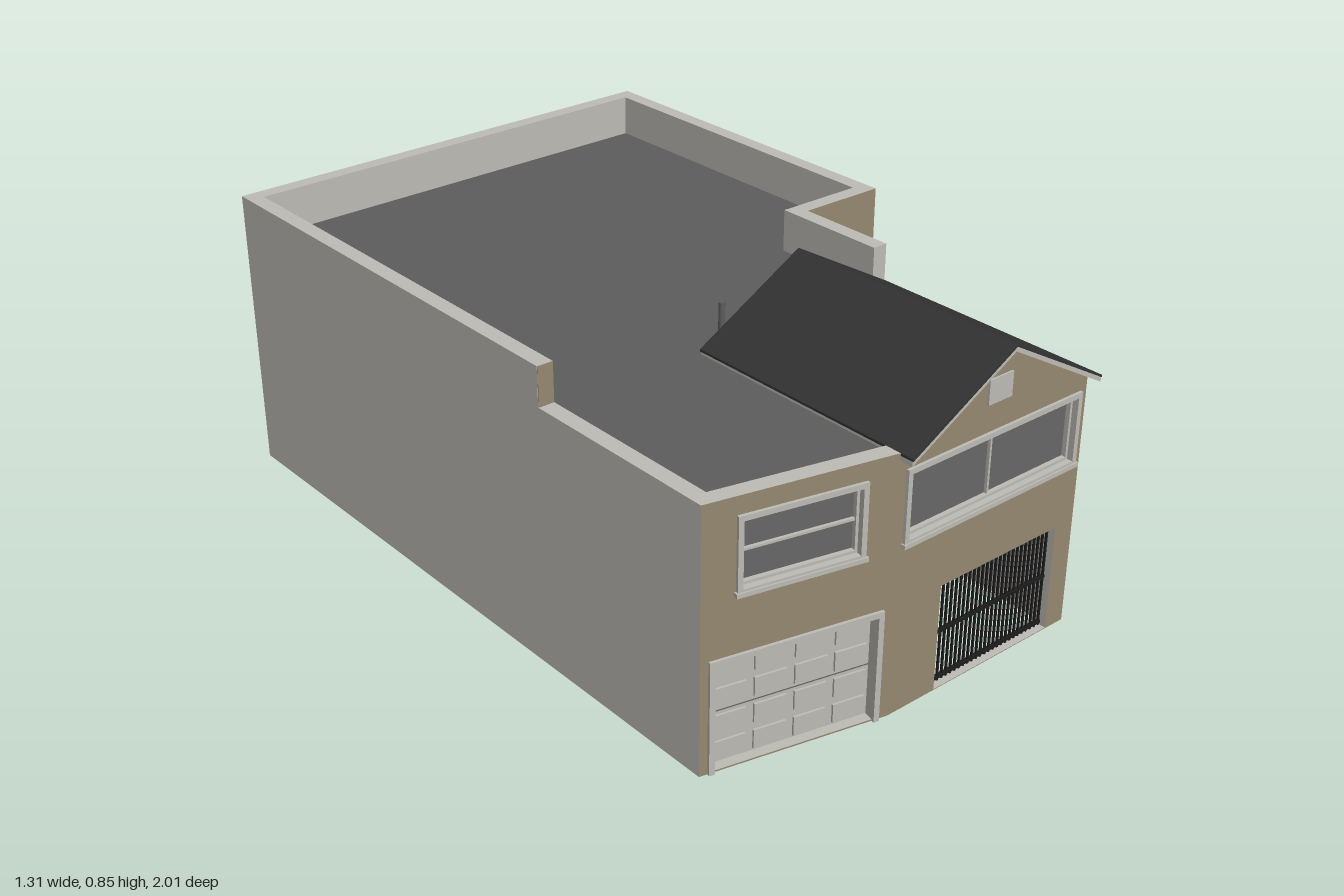
import * as THREE from 'three';

const mat = (name, color, side = THREE.FrontSide) => {
  const m = new THREE.MeshStandardMaterial({ color, side });
  m.name = name;
  return m;
};

export function createModel() {
  const house = new THREE.Group();
  house.name = 'house';
  const tan = mat('tan wall', 0x94886f);
  const light = mat('light grey', 0xbdbbb5);
  const deckGrey = mat('roof deck grey', 0x5d5d5d, THREE.DoubleSide);
  const glass = mat('window glass', 0x676767, THREE.DoubleSide);
  const roofBlack = mat('roof black', 0x333333);
  const iron = mat('gate iron', 0x1c1c1c);

  const T = 0.042, BASE = 0.01, LOW = 0.68, HIGH = 0.78;

  const add = (parent, name, geo, material) => {
    const m = new THREE.Mesh(geo, material);
    m.name = name;
    parent.add(m);
    return m;
  };
  // box given by its limits
  const box = (parent, name, material, x0, x1, y0, y1, z0, z1) => {
    const m = add(parent, name, new THREE.BoxGeometry(x1 - x0, y1 - y0, z1 - z0), material);
    m.position.set((x0 + x1) / 2, (y0 + y1) / 2, (z0 + z1) / 2);
    return m;
  };
  const shapeOf = pts => new THREE.Shape(pts.map(p => new THREE.Vector2(p[0], p[1])));

  // rectangular surround made of bars of width w
  function surround(g, name, material, [u0, u1, y0, y1], w, z0, z1, bottom) {
    box(g, name, material, u0, u0 + w, y0, y1, z0, z1);
    box(g, name, material, u1 - w, u1, y0, y1, z0, z1);
    box(g, name, material, u0 + w, u1 - w, y1 - w, y1, z0, z1);
    if (bottom) box(g, name, material, u0 + w, u1 - w, y0, y0 + w, z0, z1);
  }

  const fittings = {
    // framed glass with one dividing rail
    window(g, r, vertical) {
      const [u0, u1, y0, y1] = r, um = (u0 + u1) / 2, ym = (y0 + y1) / 2;
      surround(g, 'windowFrame', light, r, 0.013, -0.034, 0.008, true);
      surround(g, 'windowSash', light, [u0 + 0.013, u1 - 0.013, y0 + 0.013, y1 - 0.013], 0.007, -0.03, -0.008, true);
      box(g, 'windowSill', light, u0 - 0.004, u1 + 0.004, y0 - 0.004, y0 + 0.007, -0.01, 0.012);
      const pane = add(g, 'windowPane', new THREE.PlaneGeometry(u1 - u0 - 0.02, y1 - y0 - 0.02), glass);
      pane.position.set(um, ym, -0.02);
      if (vertical) box(g, 'windowRail', light, um - 0.003, um + 0.003, y0 + 0.015, y1 - 0.015, -0.025, -0.012);
      else box(g, 'windowRail', light, u0 + 0.015, u1 - 0.015, ym - 0.003, ym + 0.003, -0.025, -0.012);
    },
    // recessed plain door
    door(g, r) {
      const [u0, u1, , y1] = r;
      surround(g, 'doorFrame', light, [u0, u1, 0, y1], 0.012, -0.04, 0.008, false);
      box(g, 'doorPanel', light, u0 + 0.01, u1 - 0.01, BASE, y1 - 0.01, -0.038, -0.03);
    },
    // panelled garage door
    garage(g, r) {
      const [u0, u1, , y1] = r, a = u0 + 0.014, b = u1 - 0.014, top = y1 - 0.014;
      surround(g, 'garageFrame', light, [u0, u1, BASE, y1], 0.014, -0.04, 0.008, false);
      box(g, 'garageDoor', light, a, b, BASE, top, -0.038, -0.026);
      const cw = (b - a) / 4, rh = (top - BASE) / 4;
      for (let i = 0; i < 4; i++) for (let j = 0; j < 4; j++) {
        const x = a + i * cw, y = BASE + j * rh;
        box(g, 'garagePanel', light, x + 0.01, x + cw - 0.01, y + 0.01, y + rh - 0.01, -0.027, -0.02);
      }
      box(g, 'garageSeam', glass, a, b, 0.146, 0.149, -0.027, -0.0255);
    },
    // barred gate in an open doorway
    gate(g, [u0, u1, , y1]) {
      const n = 26;
      for (let i = 0; i <= n; i++) {
        const u = u0 + 0.003 + (u1 - u0 - 0.006) * i / n;
        box(g, 'gateBar', iron, u - 0.0025, u + 0.0025, BASE, y1, -0.023, -0.018);
      }
      for (const y of [0.022, 0.15, y1 - 0.006])
        box(g, 'gateRail', iron, u0, u1, y - 0.004, y + 0.004, -0.025, -0.016);
    },
  };
  const holeInset = { window: 0.01, door: 0.01, garage: 0.012, gate: 0 };

  // footprint corners (x, z), each starting one wall
  const P = [[-0.19, 0.965], [0.405, 0.965], [0.405, 0.045], [0.65, 0.045],
    [0.65, -1], [-0.655, -0.97], [-0.65, 0.86]].map(p => new THREE.Vector2(...p));
  const N = P.length;
  const dir = i => P[(i + 1) % N].clone().sub(P[i]).normalize();
  // corners of the footprint moved inward by the wall thickness
  const inner = P.map((p, i) => {
    const d0 = dir((i + N - 1) % N), d1 = dir(i);
    const n0 = new THREE.Vector2(d0.y, -d0.x), n1 = new THREE.Vector2(d1.y, -d1.x);
    const m = n0.clone().add(n1);
    return p.clone().addScaledVector(m, T / (1 + n0.dot(n1)));
  });

  const pair = (u0, u1) => [['window', u0, u1, 0.447, 0.635], ['window', u0, u1, 0.118, 0.3]];
  const upper = (u0, u1) => ['window', u0, u1, 0.447, 0.635];
  const L5 = P[5].distanceTo(P[6]);
  const walls = [
    { name: 'gableFrontWall', face: tan, top: L => [[L, 0.672], [L / 2, 0.84], [0, 0.672]],
      open: [['window', 0.015, 0.575, 0.447, 0.635, true], ['gate', 0.15, 0.535, 0.012, 0.29]] },
    { name: 'entranceSideWall', face: tan, top: L => [[L, HIGH], [0.64, HIGH], [0.64, 0.67], [0, 0.67]],
      open: [upper(0.155, 0.305), ['door', 0.155, 0.295, 0.002, 0.29], ...pair(0.615, 0.765)] },
    { name: 'wingFrontWall', face: tan, open: pair(0.05, 0.2) },
    { name: 'plainLeftWall', face: light, open: [] },
    { name: 'backWall', face: tan,
      open: [upper(0.245, 0.395), ['door', 0.25, 0.39, 0.002, 0.29], ...pair(0.905, 1.055)] },
    { name: 'plainRightWall', face: light, top: L => [[L, LOW], [1.29, LOW], [1.29, HIGH], [0, HIGH]], open: [] },
    { name: 'garageFrontWall', face: tan, top: L => [[L, LOW], [0, LOW]],
      open: [upper(0.082, 0.39), ['garage', 0.02, 0.446, 0.002, 0.3]] },
  ];

  walls.forEach((w, i) => {
    const a = P[i], b = P[(i + 1) % N], d = dir(i), L = a.distanceTo(b);
    const g = new THREE.Group();
    g.name = w.name;
    g.position.set(a.x, 0, a.y);
    g.rotation.y = Math.atan2(-d.y, d.x);
    house.add(g);

    const top = w.top ? w.top(L) : [[L, HIGH], [0, HIGH]];
    const shape = shapeOf([[0, BASE], [L, BASE], ...top]);
    for (const [type, u0, u1, y0, y1] of w.open) {
      const k = holeInset[type], yb = Math.max(y0 + k, BASE + 0.001);
      shape.holes.push(new THREE.Path([[u0 + k, yb], [u0 + k, y1 - k], [u1 - k, y1 - k], [u1 - k, yb]]
        .map(p => new THREE.Vector2(...p))));
    }
    const geo = new THREE.ExtrudeGeometry(shape, { depth: T, bevelEnabled: false });
    geo.translate(0, 0, -T);
    // mitre the inner ends at the corners
    const s = inner[i].clone().sub(a).dot(d), e = inner[(i + 1) % N].clone().sub(a).dot(d);
    const pos = geo.attributes.position;
    for (let k = 0; k < pos.count; k++) {
      if (pos.getZ(k) > -T / 2) continue;
      if (pos.getX(k) < 1e-4) pos.setX(k, s);
      else if (pos.getX(k) > L - 1e-4) pos.setX(k, e);
    }
    geo.computeVertexNormals();
    // inner face, outer face, edges
    const [cap, rim] = geo.groups.map(q => ({ ...q }));
    geo.clearGroups();
    geo.addGroup(cap.start, cap.count / 2, 0);
    geo.addGroup(cap.start + cap.count / 2, cap.count / 2, 1);
    geo.addGroup(rim.start, rim.count, 0);
    add(g, 'wall', geo, [light, w.face]);

    for (const [type, u0, u1, y0, y1, extra] of w.open) fittings[type](g, [u0, u1, y0, y1], extra);
    if (i === 0) box(g, 'atticVent', light, 0.255, 0.33, 0.705, 0.766, -0.002, 0.005);
    if (i === 5) box(g, 'parapetStepFace', tan, 1.289, 1.292, LOW, HIGH - 0.001, -T, -0.001);
  });

  // flat roof deck inside the parapet
  const deck = add(house, 'roofDeck', new THREE.ShapeGeometry(shapeOf(inner.map(p => [p.x, -p.y]))), deckGrey);
  deck.rotation.x = -Math.PI / 2;
  deck.position.y = 0.668;

  // gabled roof: dark covering over a light soffit
  const xm = 0.1075, half = 0.3025;
  const chevron = (name, material, drop, thick, z0, z1) => {
    const line = y => [[xm - half, 0.68 - y], [xm, 0.85 - y], [xm + half, 0.68 - y]];
    const shape = shapeOf([...line(drop + thick), ...line(drop).reverse()]);
    const geo = new THREE.ExtrudeGeometry(shape, { depth: z1 - z0, bevelEnabled: false });
    add(house, name, geo, material).position.z = z0;
  };
  chevron('gableRoof', roofBlack, 0, 0.006, 0.325, 1);
  chevron('gableSoffit', light, 0.006, 0.012, 0.328, 0.998);

  // rear gable wall standing on the deck
  const rear = new THREE.ExtrudeGeometry(shapeOf([[-0.188, 0.667], [0.403, 0.667], [xm, 0.838]]),
    { depth: 0.03, bevelEnabled: false });
  add(house, 'rearGableWall', rear, tan).position.z = 0.345;

  // vent pipe beside the gable
  const pipe = add(house, 'ventPipe', new THREE.CylinderGeometry(0.008, 0.008, 0.108, 12), deckGrey);
  pipe.position.set(-0.123, 0.721, 0.317);

  return house;
}
